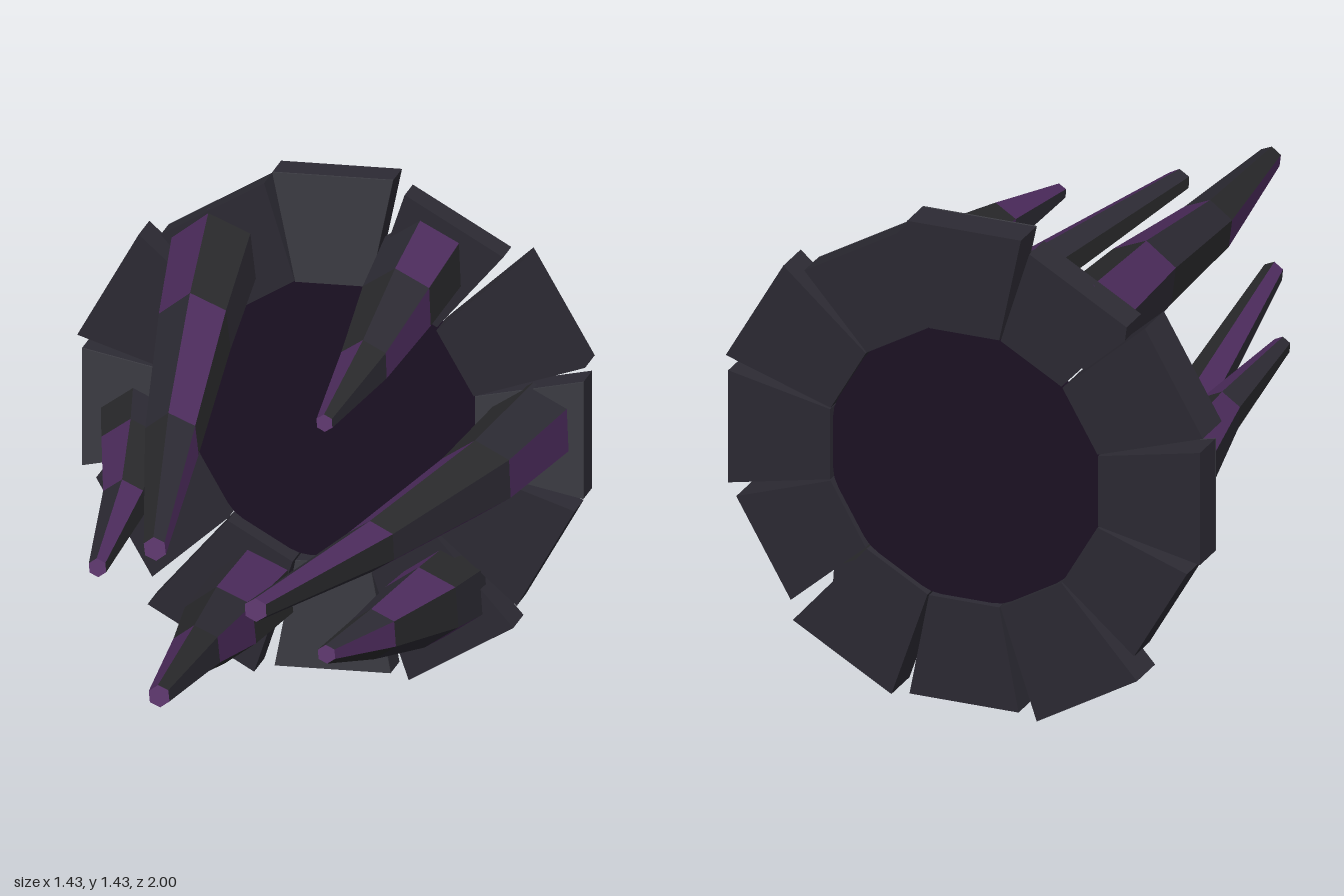
import * as THREE from 'three';

const mat = (color) => new THREE.MeshStandardMaterial({ color, flatShading: true });
const stone = mat(0x2c2a33);
const paleStone = mat(0x3c3c43);
const darkStone = mat(0x29292b);
const purple = mat(0x4c2b5c);
const tipPurple = mat(0x623a72);
const voidMat = mat(0x1c1124);
const CY = 0.732; // height of the ring centre

// Wedge block lying along +x, wider on the outside
function wedge(outer, halfWidth, depth) {
  const shape = new THREE.Shape([
    new THREE.Vector2(0.4, -0.105),
    new THREE.Vector2(outer, -halfWidth),
    new THREE.Vector2(outer, halfWidth),
    new THREE.Vector2(0.4, 0.105),
  ]);
  return new THREE.ExtrudeGeometry(shape, { depth, bevelEnabled: false });
}

// Six-sided tapering claw through rings of [x, y, z, radius]
function claw(rings, outward) {
  const sides = 6;
  const positions = [];
  const geo = new THREE.BufferGeometry();
  const corner = (s, k) => {
    const [x, y, z, r] = rings[s];
    const a = outward + ((k - 0.5) * Math.PI * 2) / sides;
    return [x + r * Math.cos(a), y + r * Math.sin(a), z];
  };
  const face = (material, ...triangles) => {
    geo.addGroup(positions.length / 3, triangles.length, material);
    triangles.forEach((p) => positions.push(...p));
  };
  const last = rings.length - 1;
  for (let s = 0; s < last; s++) {
    for (let k = 0; k < sides; k++) {
      const a = corner(s, k), b = corner(s, k + 1);
      const c = corner(s + 1, k + 1), d = corner(s + 1, k);
      // purple facets spiral around the claw
      const m = (k + s) % 3 === 0 ? 2 : (k + s) % 3 === 1 ? 0 : 1;
      face(m, a, b, c, a, c, d);
    }
  }
  // tip and base caps
  for (let k = 0; k < sides; k++) {
    face(3, rings[last].slice(0, 3), corner(last, k), corner(last, k + 1));
    face(0, rings[0].slice(0, 3), corner(0, k + 1), corner(0, k));
  }
  geo.setAttribute('position', new THREE.Float32BufferAttribute(positions, 3));
  geo.computeVertexNormals();
  return new THREE.Mesh(geo, [stone, darkStone, purple, tipPurple]);
}

export function createModel() {
  const model = new THREE.Group();
  model.name = 'clawedPortal';

  // Ring of twelve uneven blocks: [outer radius, outer half width, depth]
  const ring = new THREE.Group();
  ring.name = 'stoneRing';
  ring.position.set(0, CY, -1);
  const blocks = [
    [0.705, 0.168, 0.11], [0.723, 0.172, 0.12], [0.678, 0.16, 0.1],
    [0.71, 0.17, 0.11], [0.681, 0.168, 0.1], [0.724, 0.173, 0.13],
    [0.705, 0.168, 0.11], [0.678, 0.158, 0.105], [0.734, 0.173, 0.125],
    [0.705, 0.163, 0.11], [0.729, 0.17, 0.125], [0.692, 0.163, 0.11],
  ];
  blocks.forEach(([outer, halfWidth, depth], i) => {
    const block = new THREE.Mesh(wedge(outer, halfWidth, depth - 0.006), stone);
    block.name = 'ringBlock' + (i + 1);
    block.rotation.z = (i * Math.PI) / 6;
    ring.add(block);
    // front slab, paler on every third block
    const slab = new THREE.Mesh(wedge(outer, halfWidth, 0.006), i % 3 ? stone : paleStone);
    slab.name = 'frontSlab';
    slab.position.z = depth - 0.006;
    block.add(slab);
  });
  model.add(ring);

  // Dark disc filling the opening
  const disc = new THREE.Mesh(new THREE.CylinderGeometry(0.41, 0.41, 0.03, 24), voidMat);
  disc.name = 'darkDisc';
  disc.rotation.x = Math.PI / 2;
  disc.position.set(0, CY, -0.965);
  model.add(disc);

  // Three long claws and three short ones between them
  const claws = {
    upperRightLongClaw: [[-0.34, 1.185, -0.93, 0.13], [-0.28, 1.12, -0.42, 0.11], [-0.2, 1.0, 0.21, 0.082], [-0.09, 0.908, 0.9, 0.034]],
    leftLongClaw: [[0.56, 0.755, -0.93, 0.122], [0.515, 0.757, -0.41, 0.108], [0.36, 0.738, 0.21, 0.073], [0.205, 0.768, 0.95, 0.034]],
    lowerRightLongClaw: [[-0.225, 0.23, -0.93, 0.125], [-0.205, 0.285, -0.41, 0.11], [-0.13, 0.405, 0.21, 0.072], [-0.055, 0.518, 1.0, 0.032]],
    upperLeftShortClaw: [[0.25, 1.21, -0.93, 0.125], [0.24, 1.165, -0.63, 0.108], [0.235, 1.11, -0.25, 0.072], [0.213, 1.06, 0.14, 0.025]],
    rightShortClaw: [[-0.56, 0.685, -0.93, 0.112], [-0.5, 0.69, -0.63, 0.1], [-0.44, 0.67, -0.25, 0.065], [-0.392, 0.647, 0.285, 0.027]],
    lowerLeftShortClaw: [[0.315, 0.265, -0.93, 0.125], [0.31, 0.305, -0.63, 0.115], [0.26, 0.34, -0.25, 0.072], [0.197, 0.367, 0.045, 0.027]],
  };
  for (const [name, rings] of Object.entries(claws)) {
    const [x, y] = rings[0];
    const mesh = claw(rings, Math.atan2(y - CY, x));
    mesh.name = name;
    model.add(mesh);
  }
  return model;
}
